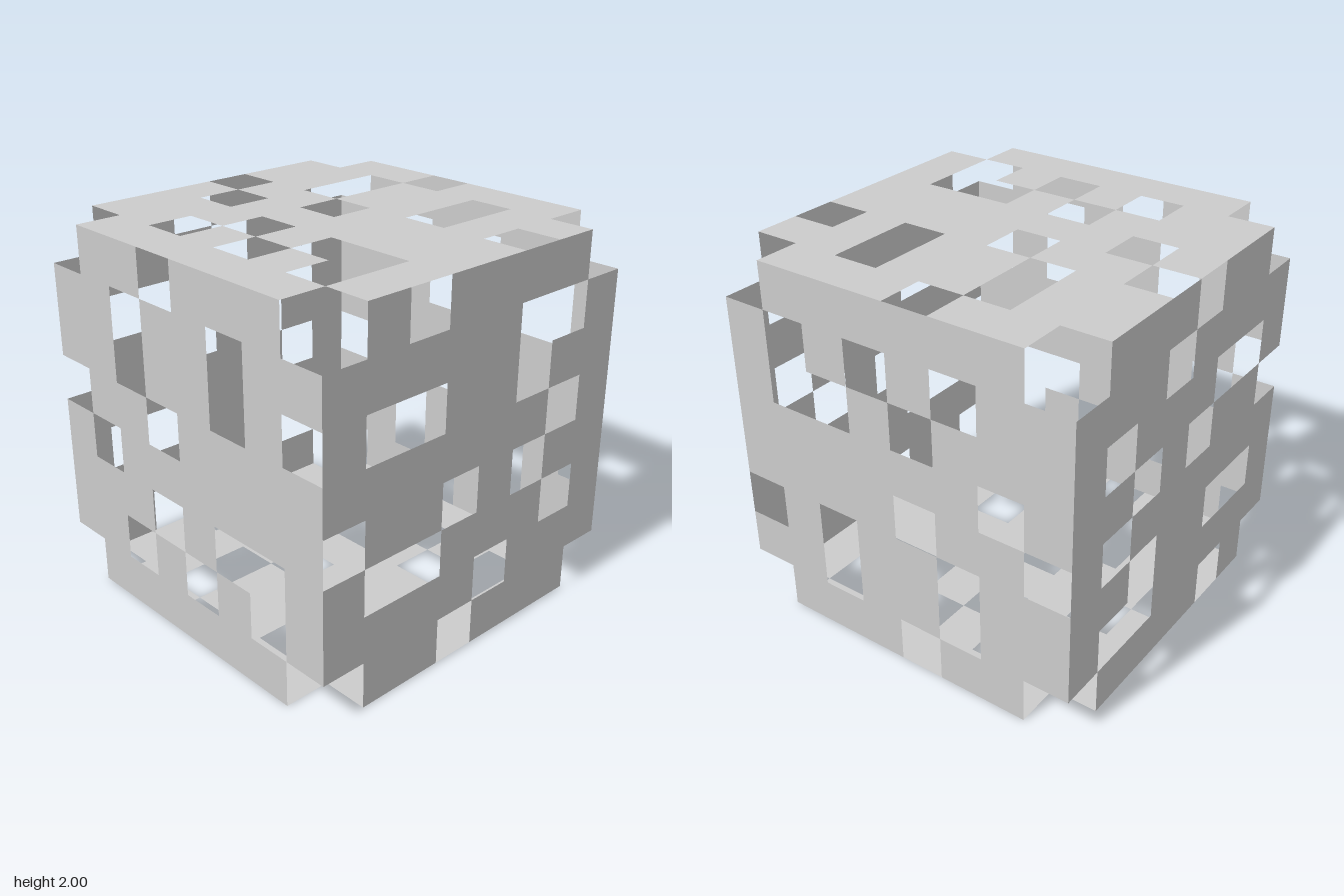
import * as THREE from 'three';
import { mergeGeometries } from 'three/addons/utils/BufferGeometryUtils.js';

// Cut-out pattern shared by all six panels ('#' solid, '.' open)
const PATTERN = [
  '.##.###.',
  '##.##.##',
  '##.##.#.',
  '.##.####',
  '#.######',
  '###.#..#',
  '##.#.#.#',
  '.######.',
];
const CELL = 2 / PATTERN.length;

// One thin panel at z = 1: each run of solid cells becomes a strip
function panelGeometry() {
  const strips = [];
  PATTERN.forEach((row, r) => {
    for (const run of row.matchAll(/#+/g)) {
      const n = run[0].length;
      const strip = new THREE.PlaneGeometry(n * CELL, CELL, n, 1);
      strip.translate(-1 + (run.index + n / 2) * CELL, 1 - (r + 0.5) * CELL, 1);
      strips.push(strip);
    }
  });
  return mergeGeometries(strips);
}

export function createModel() {
  const group = new THREE.Group();
  group.name = 'perforatedCube';
  const material = new THREE.MeshStandardMaterial({ color: 0xcccccc, side: THREE.DoubleSide });
  const geometry = panelGeometry();

  // Directions that the panel's own x and y axes take on each side of the cube
  const sides = {
    frontPanel: [[1, 0, 0], [0, 1, 0]],
    topPanel: [[1, 0, 0], [0, 0, -1]],
    backPanel: [[1, 0, 0], [0, -1, 0]],
    bottomPanel: [[1, 0, 0], [0, 0, 1]],
    leftPanel: [[0, 1, 0], [0, 0, 1]],
    rightPanel: [[0, -1, 0], [0, 0, 1]],
  };
  for (const [name, [across, up]] of Object.entries(sides)) {
    const x = new THREE.Vector3(...across);
    const y = new THREE.Vector3(...up);
    const z = new THREE.Vector3().crossVectors(x, y);
    const panel = new THREE.Mesh(geometry, material);
    panel.name = name;
    panel.quaternion.setFromRotationMatrix(new THREE.Matrix4().makeBasis(x, y, z));
    panel.position.y = 1;
    group.add(panel);
  }
  return group;
}
